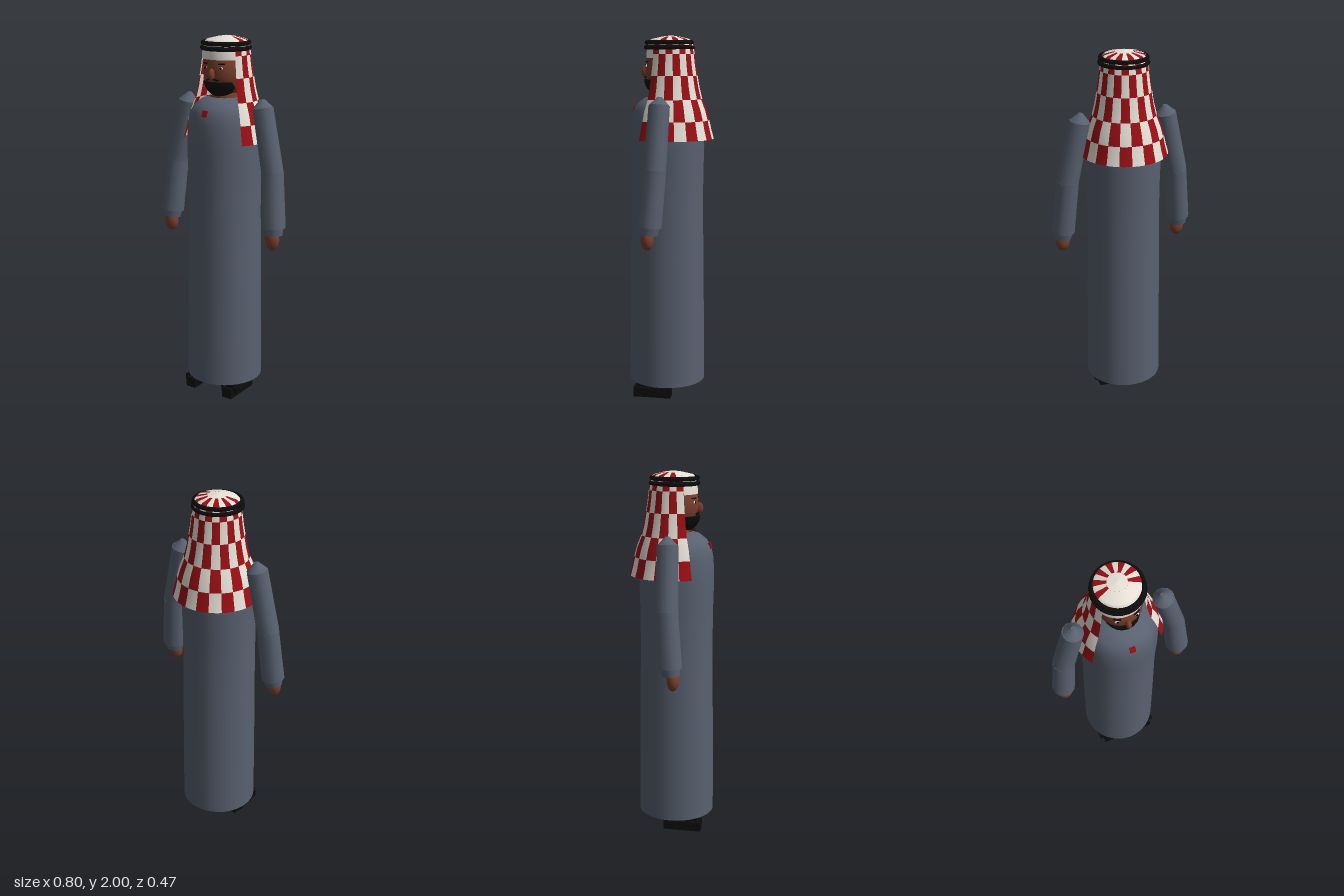
import * as THREE from 'three';
import { mergeGeometries } from 'three/addons/utils/BufferGeometryUtils.js';

const V = (x, y, z) => new THREE.Vector3(x, y, z);
const mat = (name, color, side = THREE.FrontSide) => {
  const m = new THREE.MeshStandardMaterial({ color, side });
  m.name = name;
  return m;
};

export function createModel() {
  const root = new THREE.Group();
  root.name = 'robedMan';
  const grey = mat('robe grey', 0x596170, THREE.DoubleSide);
  const white = mat('cloth white', 0xeae4da, THREE.DoubleSide);
  const red = mat('cloth red', 0x9a0f14, THREE.DoubleSide);
  const black = mat('black', 0x0c0c0c);
  const skin = mat('skin', 0x7a3f2c);

  const add = (name, geo, material, x = 0, y = 0, z = 0, parent = root) => {
    const m = new THREE.Mesh(geo, material);
    m.name = name;
    m.position.set(x, y, z);
    parent.add(m);
    return m;
  };
  const lathe = (pts, seg, start = 0, len = Math.PI * 2) =>
    new THREE.LatheGeometry(pts.map(([r, y]) => new THREE.Vector2(r, y)), seg, start, len);
  const ball = (rx, ry, rz, w = 16, h = 12) => new THREE.SphereGeometry(1, w, h).scale(rx, ry, rz);

  // Tapered tube between two points
  const limb = (name, a, b, ra, rb, material, parent) => {
    const dir = b.clone().sub(a);
    const mid = a.clone().add(b).multiplyScalar(0.5);
    const m = add(name, new THREE.CylinderGeometry(rb, ra, dir.length(), 12), material, mid.x, mid.y, mid.z, parent);
    m.quaternion.setFromUnitVectors(V(0, 1, 0), dir.normalize());
    return m;
  };

  // Long robe, open at the hem
  add('robe', lathe([[0.211, 0.08], [0.208, 0.4], [0.203, 0.8], [0.199, 1.05], [0.2, 1.25], [0.204, 1.4],
    [0.203, 1.48], [0.197, 1.55], [0.185, 1.6], [0.163, 1.635], [0.125, 1.665], [0.08, 1.678]], 32),
  grey, 0, 0, 0.02);
  add('chestBadge', new THREE.BoxGeometry(0.03, 0.034, 0.012), red, 0, 1.605, 0.202).rotation.x = -0.3;

  // Neck and head
  add('neck', new THREE.CylinderGeometry(0.065, 0.075, 0.1, 16), skin, 0, 1.69, 0.02);
  add('head', lathe([[0, 1.675], [0.05, 1.685], [0.08, 1.71], [0.104, 1.755], [0.117, 1.8], [0.115, 1.85],
    [0.105, 1.9], [0.085, 1.95], [0, 1.97]], 24).scale(1, 1, 1.08), skin, 0, 0, 0.012);
  add('nose', ball(0.016, 0.032, 0.024, 10, 8), skin, 0, 1.805, 0.14);
  const beard = new THREE.SphereGeometry(1, 20, 8, 0, Math.PI * 2, Math.PI / 2, Math.PI / 2);
  const beardTop = new THREE.CircleGeometry(1, 20).rotateX(-Math.PI / 2);
  add('beard', mergeGeometries([beard, beardTop]).scale(0.092, 0.088, 0.099), black, 0, 1.765, 0.048);
  for (const s of [1, -1]) {
    add('eyeWhite', ball(0.013, 0.008, 0.006, 10, 6), white, s * 0.05, 1.838, 0.124);
    add('pupil', ball(0.007, 0.008, 0.005, 8, 6), black, s * 0.05, 1.838, 0.128);
    add('eyebrow', new THREE.BoxGeometry(0.036, 0.006, 0.008), black, s * 0.05, 1.86, 0.122).rotation.y = s * 0.45;
    add('moustache', new THREE.BoxGeometry(0.038, 0.008, 0.01), black, s * 0.02, 1.778, 0.136)
      .rotation.set(0, s * 0.2, -s * 0.2);
  }

  // Checked headscarf: columns around the back, rows from hem to crown
  const rows = [
    [[0.236, 1.445], [0.222, 1.495], [0.211, 1.545]],
    [[0.211, 1.545], [0.196, 1.6], [0.172, 1.66]],
    [[0.172, 1.66], [0.157, 1.72], [0.146, 1.785]],
    [[0.146, 1.785], [0.137, 1.84], [0.13, 1.9]],
    [[0.13, 1.9], [0.125, 1.93], [0.117, 1.968]],
    [[0.117, 1.968], [0.105, 1.98], [0.05, 1.993]],
  ];
  const columns = 15, gap = 0.95, step = (2 * Math.PI - 2 * gap) / columns;
  const cells = [[], []];
  rows.forEach((row, i) => {
    for (let c = 0; c < columns; c++) cells[(i + c) % 2].push(lathe(row, 3, gap + c * step, step));
  });
  add('scarfRedChecks', mergeGeometries(cells[0]), red);
  add('scarfWhiteChecks', mergeGeometries(cells[1]), white);
  add('scarfFront', lathe([[0.133, 1.88], [0.13, 1.92], [0.119, 1.968], [0.106, 1.98], [0.05, 1.993]],
    12, -gap, gap * 2), white);
  add('scarfCrown', lathe([[0.05, 1.993], [0, 2]], 24), white);

  // Double head cord
  for (const [y, r] of [[1.962, 0.122], [1.936, 0.126]])
    add('headCord', new THREE.TorusGeometry(r, 0.012, 8, 32).rotateX(Math.PI / 2), black, 0, y, 0.008);

  for (const s of [1, -1]) {
    // Sleeved arm with cuff and hand
    const arm = new THREE.Group();
    arm.name = s > 0 ? 'leftArm' : 'rightArm';
    root.add(arm);
    const shoulder = V(s * 0.242, 1.635, 0.017), elbow = V(s * 0.312, 1.3, 0.027), wrist = V(s * 0.339, 1.005, 0.05);
    const cuffEnd = V(s * 0.342, 0.965, 0.054);
    limb('upperSleeve', shoulder, elbow, 0.056, 0.06, grey, arm);
    limb('shoulderCap', shoulder, V(s * 0.236, 1.68, 0.015), 0.056, 0.012, grey, arm);
    add('elbow', ball(0.06, 0.05, 0.06, 12, 8), grey, elbow.x, elbow.y, elbow.z, arm);
    limb('foreSleeve', elbow, wrist, 0.06, 0.064, grey, arm);
    limb('cuff', wrist, cuffEnd, 0.054, 0.048, grey, arm);
    add('hand', ball(0.04, 0.06, 0.034, 14, 10), skin, s * 0.339, 0.942, 0.064, arm);

    // Leg and shoe
    limb('leg', V(s * 0.122, 0.065, 0.03), V(s * 0.11, 0.6, 0.02), 0.05, 0.06, grey, root);
    add('shoe', new THREE.BoxGeometry(0.06, 0.056, 0.21), black, s * 0.125, 0.028, 0.08);
    add('shoeTop', new THREE.BoxGeometry(0.06, 0.022, 0.17), black, s * 0.125, 0.066, 0.078);
    add('shoeSide', new THREE.BoxGeometry(0.106, 0.036, 0.16), black, s * 0.125, 0.043, 0.08);
  }
  return root;
}
